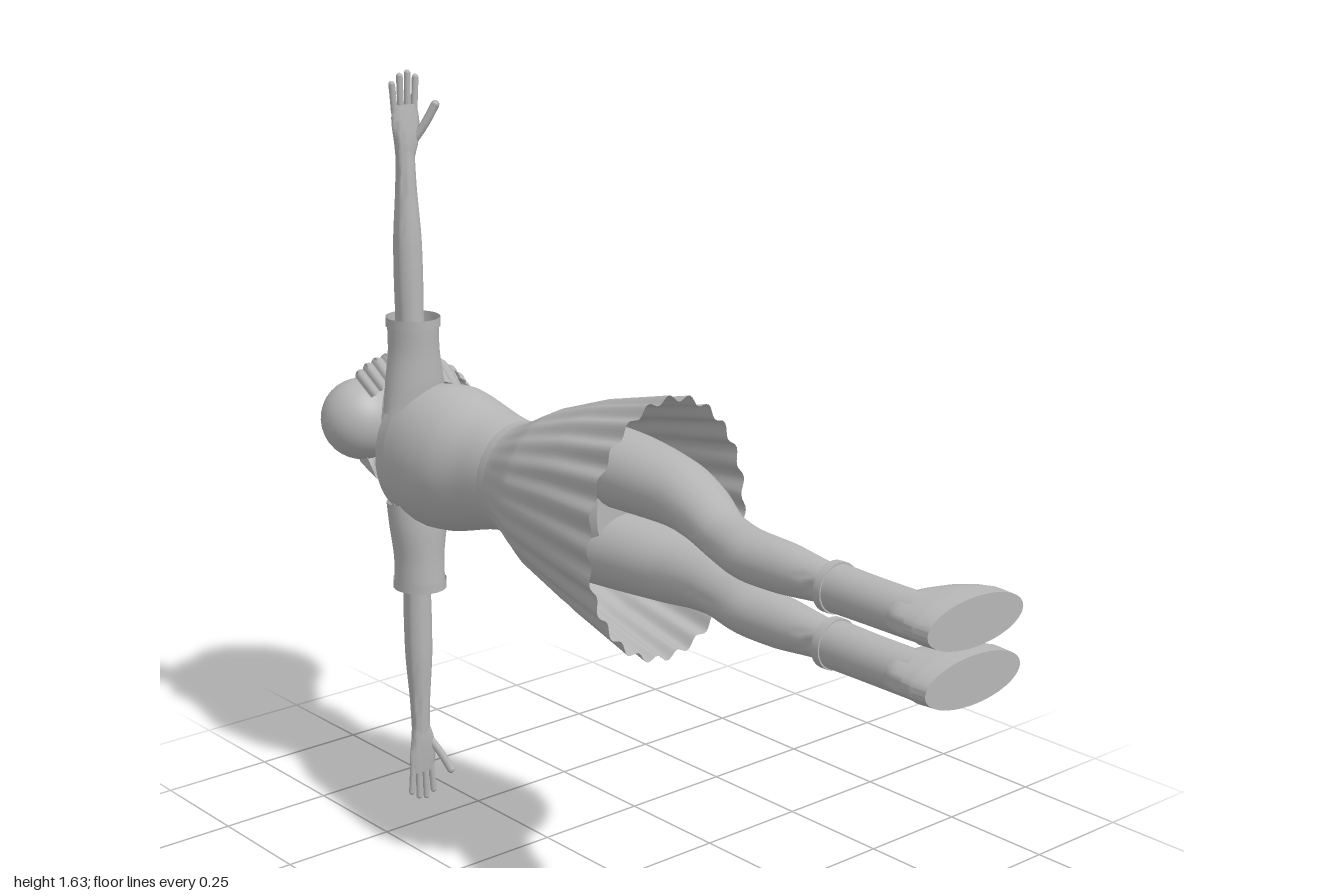
import * as THREE from 'three';
import { toCreasedNormals } from 'three/addons/utils/BufferGeometryUtils.js';
import { ParametricGeometry } from 'three/addons/geometries/ParametricGeometry.js';

const grey = new THREE.MeshStandardMaterial({ color: 0xb6b6b6, side: THREE.DoubleSide });
grey.name = 'plainGrey';

function add(parent, name, geometry, x = 0, y = 0, z = 0) {
  const mesh = new THREE.Mesh(geometry, grey);
  mesh.name = name;
  mesh.position.set(x, y, z);
  parent.add(mesh);
  return mesh;
}

// Smooth oval tube through sections [height, centre z, half width x, half depth z, centre x]
function loft(sections, open = false, sides = 24) {
  const rows = (sections.length - 1) * 4;
  const a = new THREE.CatmullRomCurve3(sections.map(s => new THREE.Vector3(s[0], s[1], s[2])), false, 'catmullrom', 0.4);
  const b = new THREE.CatmullRomCurve3(sections.map(s => new THREE.Vector3(s[3], s[4] || 0, 0)), false, 'catmullrom', 0.4);
  const g = new THREE.CylinderGeometry(1, 1, 1, sides, rows, open);
  const p = g.attributes.position;
  for (let i = 0; i < p.count; i++) {
    const t = Math.min(1, Math.max(0, p.getY(i) + 0.5));
    const A = a.getPoint(t), B = b.getPoint(t);
    p.setXYZ(i, B.y + p.getX(i) * A.z, A.x, A.y + p.getZ(i) * B.x);
  }
  return toCreasedNormals(g, 0.9);
}

// Section at a given height, by straight interpolation
function sectionAt(sections, h) {
  let i = 0;
  while (i < sections.length - 2 && h > sections[i + 1][0]) i++;
  const k = THREE.MathUtils.clamp((h - sections[i][0]) / (sections[i + 1][0] - sections[i][0]), 0, 1);
  return sections[i].map((v, j) => v + (sections[i + 1][j] - v) * k);
}

const tube = (points, r) => new THREE.TubeGeometry(
  new THREE.CatmullRomCurve3(points.map(p => new THREE.Vector3(...p))), 12, r, 8);

const BODICE = [[0.28, -0.03, 0.115, 0.108], [0.36, -0.035, 0.128, 0.113], [0.43, -0.042, 0.147, 0.128],
  [0.49, -0.046, 0.16, 0.134], [0.55, -0.07, 0.155, 0.112], [0.6, -0.085, 0.125, 0.09], [0.63, -0.05, 0.06, 0.055]];
const SKIRT = [[-0.18, -0.035, 0.262, 0.2], [0, -0.033, 0.222, 0.174], [0.15, -0.033, 0.174, 0.152],
  [0.24, -0.03, 0.13, 0.122], [0.29, -0.03, 0.115, 0.108]];

function buildDress(body) {
  add(body, 'bodice', loft(BODICE, false, 32));
  add(body, 'waistband', loft([[0.265, -0.03, 0.122, 0.115], [0.295, -0.03, 0.119, 0.112]]));

  // Pleated skirt, open at the hem
  add(body, 'skirt', new ParametricGeometry((u, v, p) => {
    const a = u * Math.PI * 2, h = 0.29 - v * 0.47;
    const [, cz, rx, rz] = sectionAt(SKIRT, h);
    const k = 1 + 0.028 * v * Math.cos(a * 24);
    p.set(Math.sin(a) * rx * k, h, cz + Math.cos(a) * rz * k);
  }, 192, 16));

  // Broad collar with two front points
  add(body, 'collar', new ParametricGeometry((u, v, p) => {
    const a = (u * 2 - 1) * Math.PI, d = Math.abs(a);
    const edge = d < 0.55 ? 0.585 - 0.09 * d / 0.55 : Math.min(0.56, 0.495 + (d - 0.55) * 0.075);
    const h = 0.632 + (edge - 0.632) * v;
    const [, cz, rx, rz] = sectionAt(BODICE, h);
    p.set(Math.sin(a) * (rx + 0.008), h, cz + Math.cos(a) * (rz + 0.008));
  }, 64, 8));

  // Bow at the front of the waist
  add(body, 'bowKnot', new THREE.SphereGeometry(0.012, 12, 8), 0, 0.275, 0.09);
  for (const s of [-1, 1]) {
    const loop = add(body, 'bowLoop', new THREE.TorusGeometry(0.016, 0.004, 8, 16), s * 0.024, 0.272, 0.092);
    loop.scale.set(1.2, 0.7, 1);
    add(body, 'bowString', tube([[0, 0.275, 0.092], [s * 0.012, 0.2, 0.118], [s * 0.024, 0.13, 0.13]], 0.004));
  }
}

function buildArm(body, s) {
  const arm = new THREE.Group();
  arm.name = s > 0 ? 'leftArm' : 'rightArm';
  arm.position.set(0, 0.588, -0.09);
  arm.rotation.z = -s * Math.PI / 2;
  body.add(arm);
  add(arm, 'armSkin', loft([[0.12, 0, 0.038, 0.036], [0.28, 0, 0.032, 0.03], [0.38, 0, 0.031, 0.031],
    [0.47, 0, 0.029, 0.03], [0.57, 0, 0.022, 0.023], [0.65, 0, 0.017, 0.021]]));
  const sleeveX = s * 0.012;
  add(arm, 'sleeve', loft([[0.1, 0, 0.05, 0.075, sleeveX], [0.16, 0, 0.055, 0.066, sleeveX],
    [0.23, 0, 0.055, 0.055, sleeveX], [0.3, 0, 0.058, 0.054, sleeveX]], true));
  add(arm, 'cuff', loft([[0.282, 0, 0.061, 0.057, sleeveX], [0.302, 0, 0.061, 0.057, sleeveX]], true));
  // Hand: palm, four fingers and a thumb
  add(arm, 'palm', loft([[0.635, 0, 0.017, 0.021], [0.67, 0.004, 0.017, 0.029],
    [0.71, 0.003, 0.013, 0.034], [0.745, 0.001, 0.009, 0.031]]));
  [0.795, 0.81, 0.815, 0.805].forEach((tip, i) => {
    const z = -0.024 + i * 0.0165;
    add(arm, 'finger', tube([[0, 0.73, z], [0, 0.77, z * 1.12], [0, tip - 0.006, z * 1.2]], 0.007));
    add(arm, 'fingertip', new THREE.SphereGeometry(0.007, 10, 8), 0, tip - 0.006, z * 1.2);
  });
  add(arm, 'thumb', tube([[0, 0.665, 0.018], [s * 0.02, 0.705, 0.038], [s * 0.036, 0.745, 0.054]], 0.009));
  add(arm, 'thumbTip', new THREE.SphereGeometry(0.009, 10, 8), s * 0.036, 0.745, 0.054);
}

function buildLeg(body, s) {
  const leg = new THREE.Group();
  leg.name = s > 0 ? 'leftLeg' : 'rightLeg';
  leg.position.x = s * 0.052;
  body.add(leg);
  add(leg, 'legSkin', loft([[0.08, -0.02, 0.082, 0.09, s * 0.035], [-0.06, -0.015, 0.077, 0.086, s * 0.032],
    [-0.2, -0.025, 0.066, 0.075, s * 0.027], [-0.3, -0.05, 0.055, 0.068, s * 0.016], [-0.4, -0.092, 0.046, 0.057, s * 0.004],
    [-0.5, -0.123, 0.048, 0.055], [-0.6, -0.128, 0.047, 0.048], [-0.7, -0.13, 0.037, 0.037], [-0.8, -0.135, 0.034, 0.035]]));
  add(leg, 'sock', loft([[-0.72, -0.133, 0.044, 0.045], [-0.82, -0.135, 0.042, 0.044], [-0.93, -0.135, 0.041, 0.046]], true));
  add(leg, 'sockRim', loft([[-0.718, -0.133, 0.047, 0.048], [-0.735, -0.133, 0.047, 0.048]].reverse()));
  add(leg, 'shoeUpper', loft([[-0.97, -0.08, 0.045, 0.12], [-0.945, -0.081, 0.045, 0.116], [-0.922, -0.095, 0.043, 0.1],
    [-0.905, -0.12, 0.04, 0.07], [-0.895, -0.135, 0.036, 0.05]], false, 32));
  add(leg, 'shoeSole', loft([[-1, -0.079, 0.045, 0.119], [-0.965, -0.079, 0.047, 0.121]], false, 32));
  for (const z of [-0.07, -0.045, -0.02]) {
    add(leg, 'shoeLace', tube([[-0.024, -0.922, z], [0, -0.907 + (z + 0.07) * -0.2, z], [0.024, -0.922, z]], 0.004));
  }
}

function buildHead(body) {
  add(body, 'neck', loft([[0.58, -0.055, 0.055, 0.05], [0.63, -0.03, 0.04, 0.04], [0.68, -0.02, 0.034, 0.036], [0.8, 0.015, 0.036, 0.04]]));
  const head = new THREE.Group();
  head.name = 'head';
  head.position.set(0, 0.85, 0.075);
  head.rotation.x = 0.43;
  body.add(head);
  const ball = new THREE.SphereGeometry(1, 32, 24);
  add(head, 'skullBack', ball, 0, 0, -0.1).scale.setScalar(0.093);
  add(head, 'face', ball, 0, -0.04, 0.02).scale.set(0.105, 0.115, 0.1);
  add(head, 'chin', ball, 0, -0.1, 0.06).scale.set(0.05, 0.05, 0.05);
  add(head, 'nose', new THREE.SphereGeometry(0.01, 10, 8), 0, -0.06, 0.12);
  for (const s of [-1, 1]) add(head, 'ear', ball, s * 0.105, -0.05, -0.01).scale.set(0.012, 0.03, 0.02);

  // Bobbed hair: ribbed dome with a fringe, long sides and an open back
  add(head, 'hair', new ParametricGeometry((u, v, p) => {
    const a = (u * 2 - 1) * Math.PI, d = Math.abs(a);
    const strand = Math.abs(Math.sin(a * 18));
    let tip = d < 0.85 ? -0.035 : d < 2.45 ? -0.205 + 0.03 * (d - 0.85) : 0.08;
    tip -= 0.022 * (strand - 0.5) + 0.01 * Math.sin(Math.round(a * 18 / Math.PI) * 2.7);
    // the dome goes down to the equator, then hangs almost straight
    const dome = 0.15 * Math.PI / 2;
    const total = tip < 0 ? dome - tip : 0.15 * Math.acos(tip / 0.15);
    const s = total * v, phi = Math.min(s / 0.15, Math.PI / 2), drop = Math.max(0, s - dome);
    const k = Math.sin(phi) * (1 - drop * 0.45) * (0.96 + 0.045 * strand);
    const depth = Math.cos(a) > 0 ? 0.165 : 0.148;
    p.set(Math.sin(a) * 0.147 * k, 0.15 * Math.cos(phi) - drop, Math.cos(a) * depth * k);
  }, 288, 24));
}

export function createModel() {
  const model = new THREE.Group();
  model.name = 'figure';
  // Upright figure laid down: head to -z, chest to +x, arms along y
  const body = new THREE.Group();
  body.name = 'body';
  body.quaternion.setFromRotationMatrix(new THREE.Matrix4().makeBasis(
    new THREE.Vector3(0, -1, 0), new THREE.Vector3(0, 0, -1), new THREE.Vector3(1, 0, 0)));
  body.position.y = 0.815;
  model.add(body);
  buildDress(body);
  add(body, 'hips', loft([[-0.03, -0.02, 0.1, 0.07], [0.03, -0.02, 0.15, 0.098], [0.14, -0.025, 0.145, 0.1], [0.27, -0.03, 0.105, 0.095]]));
  for (const s of [-1, 1]) {
    buildArm(body, s);
    buildLeg(body, s);
  }
  buildHead(body);
  return model;
}
